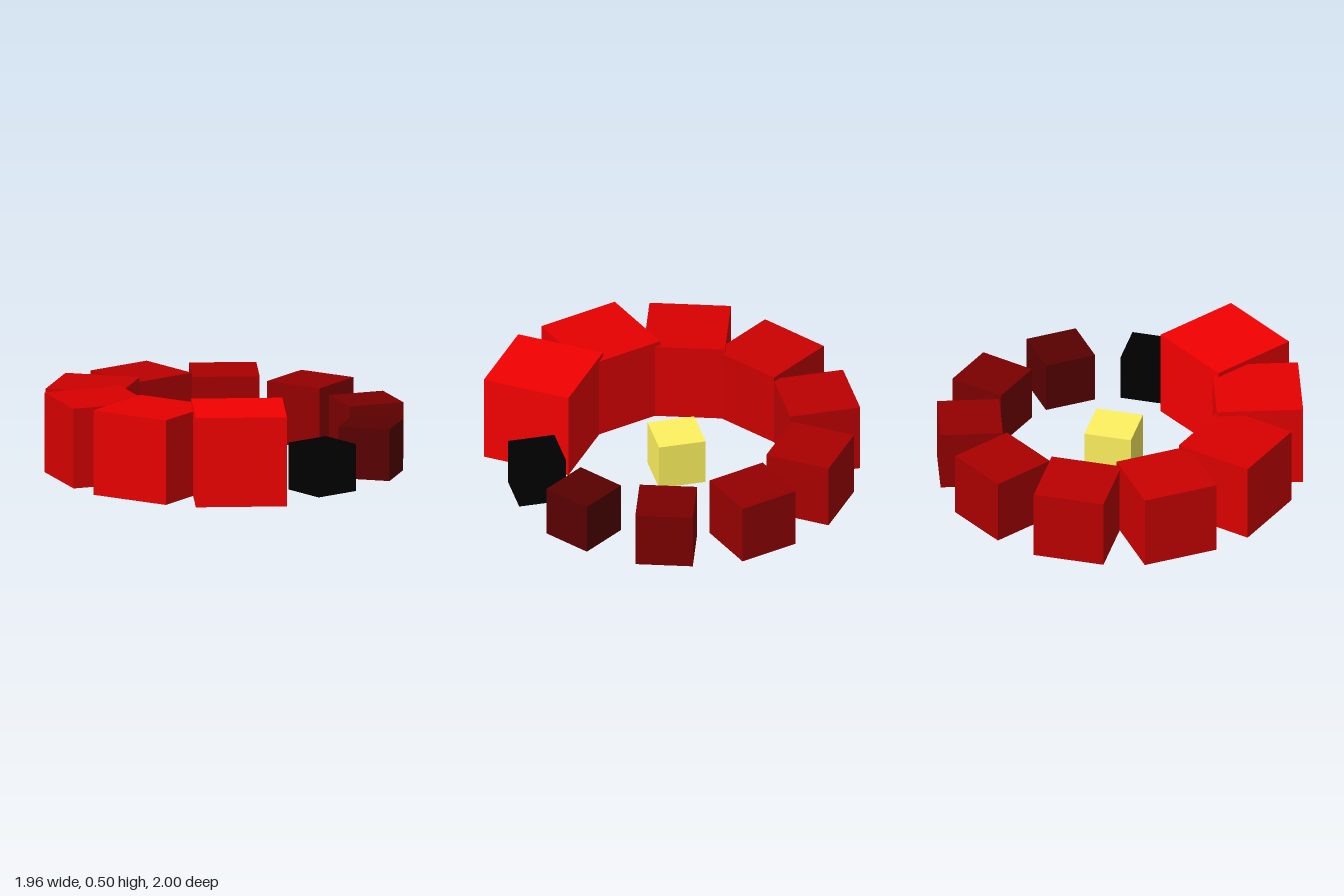
import * as THREE from 'three';

const UNIT = 0.2611;        // side of the smallest cube
const RADIUS = 3 * UNIT;    // radius of the ring
const COUNT = 10;

// Cube standing on the ground
function cube(name, side, color, x, z, turn) {
  const mesh = new THREE.Mesh(
    new THREE.BoxGeometry(side, side, side),
    new THREE.MeshStandardMaterial({ color })
  );
  mesh.name = name;
  mesh.position.set(x, side / 2, z);
  mesh.rotation.y = turn;
  return mesh;
}

export function createModel() {
  const model = new THREE.Group();
  model.name = 'cubeRing';

  // Yellow cube in the middle
  model.add(cube('centreCube', UNIT, new THREE.Color(1, 0.89, 0.115), 0, 0, 0));

  // Ring of cubes, growing and brightening from black to red
  for (let i = 0; i < COUNT; i++) {
    const angle = (i / COUNT) * Math.PI * 2;
    model.add(cube(
      `ringCube${i + 1}`,
      UNIT * (1 + 0.1 * i),
      new THREE.Color(i / COUNT, 0, 0),
      RADIUS * Math.cos(angle),
      -RADIUS * Math.sin(angle),
      angle
    ));
  }

  // Centre the uneven ring front to back
  model.position.z = -0.041;
  const root = new THREE.Group();
  root.add(model);
  return root;
}
